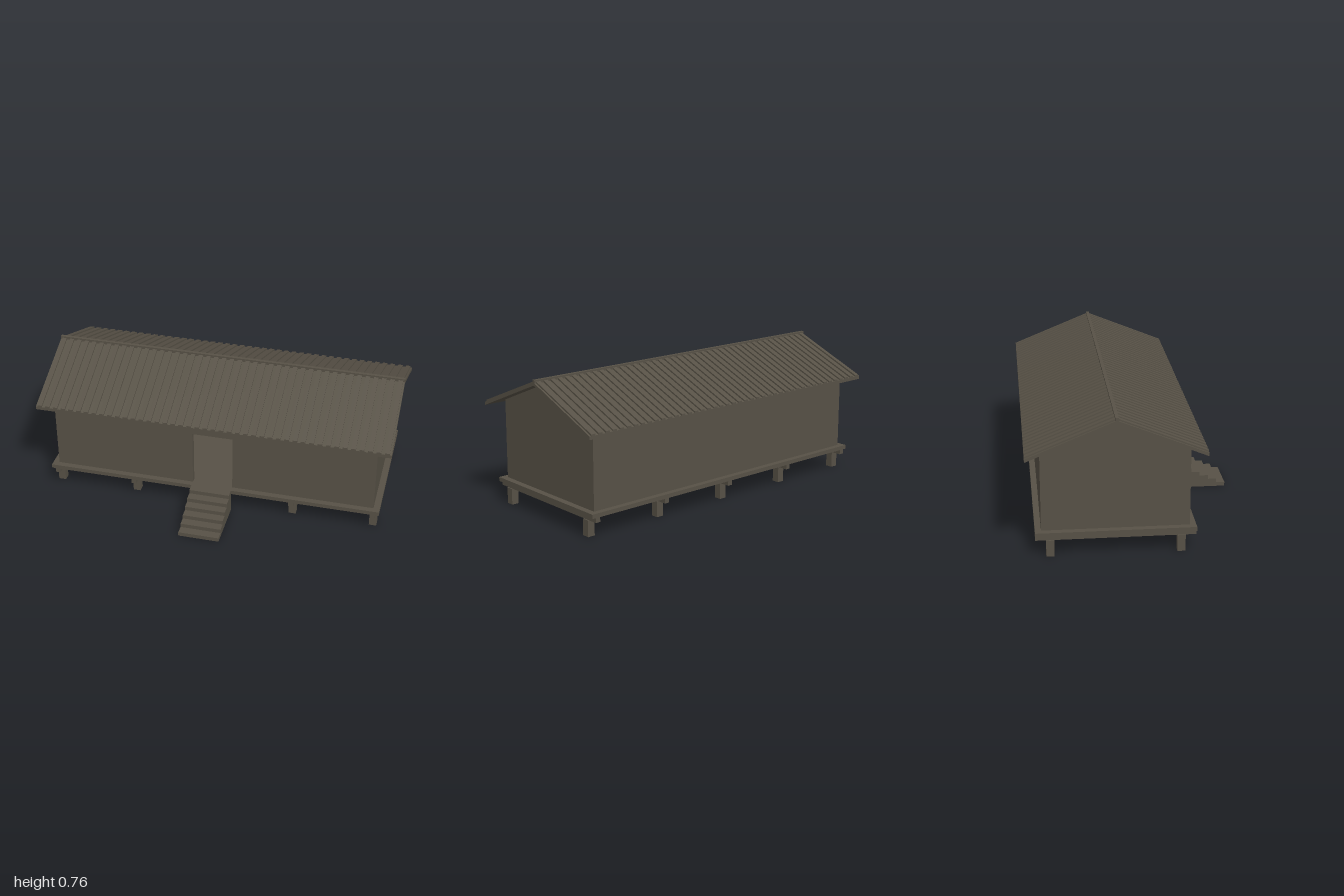
import * as THREE from 'three';

export function createModel() {
  const house = new THREE.Group();
  house.name = 'stiltHouse';
  const wood = new THREE.MeshStandardMaterial({ color: 0x575146 });
  wood.name = 'weatheredWood';

  function add(name, geometry, parent = house) {
    const mesh = new THREE.Mesh(geometry, wood);
    mesh.name = name;
    parent.add(mesh);
    return mesh;
  }
  function group(name) {
    const g = new THREE.Group();
    g.name = name;
    house.add(g);
    return g;
  }
  // Box given by its limits on each axis
  function box(name, x0, x1, y0, y1, z0, z1, parent) {
    const g = new THREE.BoxGeometry(x1 - x0, y1 - y0, z1 - z0);
    g.translate((x0 + x1) / 2, (y0 + y1) / 2, (z0 + z1) / 2);
    return add(name, g, parent);
  }
  const shapeOf = (pts) => new THREE.Shape(pts.map((p) => new THREE.Vector2(p[0], p[1])));
  // Side profile of [z, y] points, extruded from x0 to x1
  function alongX(name, pts, x0, x1, parent) {
    const g = new THREE.ExtrudeGeometry(shapeOf(pts), { depth: x1 - x0, bevelEnabled: false });
    g.rotateY(-Math.PI / 2);
    g.translate(x1, 0, 0);
    return add(name, g, parent);
  }

  const floorY = 0.138, floorBase = 0.115, beamBase = 0.089;
  const floorFront = 0.293, floorBack = -0.538;
  const wallX = 0.92, wallFront = 0.26, wallBack = -0.506, thick = 0.03;
  const ridgeZ = -0.123, eave = 0.461, doorX = 0.115;

  // Posts and cross beams
  const supports = group('supports');
  for (let i = -2; i <= 2; i++) {
    const x = i * 0.46;
    box('crossBeam', x - 0.014, x + 0.014, beamBase, floorBase, floorBack, floorFront, supports);
    for (const z of [0.215, -0.461]) {
      box('post', x - 0.021, x + 0.021, 0, beamBase, z - 0.021, z + 0.021, supports);
    }
  }
  box('floor', -0.955, 0.955, floorBase, floorY, floorBack, floorFront);

  // Walls, with an open doorway in the front
  const walls = group('walls');
  const top = 0.583;
  const front = new THREE.ExtrudeGeometry(shapeOf([
    [-wallX, floorY], [-doorX, floorY], [-doorX, 0.467], [doorX, 0.467],
    [doorX, floorY], [wallX, floorY], [wallX, top], [-wallX, top],
  ]), { depth: thick, bevelEnabled: false });
  front.translate(0, 0, wallFront - thick);
  add('frontWall', front, walls);
  box('backWall', -wallX, wallX, floorY, top, wallBack, wallBack + thick, walls);
  const gable = [
    [wallBack, floorY], [wallFront, floorY], [wallFront, 0.577], [ridgeZ, 0.736], [wallBack, 0.577],
  ];
  alongX('gableWall', gable, -wallX, -wallX + thick, walls);
  alongX('gableWall', gable, wallX - thick, wallX, walls);

  // Roof sheet, raised ribs and ridge cap
  const roof = group('roof');
  const chevron = (eaveLow, eaveHigh, ridgeLow, ridgeHigh) => [
    [ridgeZ - eave, eaveLow], [ridgeZ, ridgeLow], [ridgeZ + eave, eaveLow],
    [ridgeZ + eave, eaveHigh], [ridgeZ, ridgeHigh], [ridgeZ - eave, eaveHigh],
  ];
  alongX('roofSheet', chevron(0.544, 0.562, 0.734, 0.749), -1, 1, roof);
  const ribs = 44, pitch = 2 / ribs;
  for (let i = 0; i < ribs; i++) {
    const x = -1 + (i + 0.5) * pitch;
    alongX('roofRib', chevron(0.56, 0.571, 0.747, 0.758), x - pitch * 0.28, x + pitch * 0.28, roof);
  }
  box('ridgeCap', -1, 1, 0.745, 0.763, ridgeZ - 0.009, ridgeZ + 0.009, roof);

  // Solid front steps
  const steps = 6, tread = (0.585 - floorFront) / steps;
  const profile = [[floorFront, 0], [0.585, 0]];
  for (let i = 0; i < steps; i++) {
    const y = (floorY * (i + 1)) / steps;
    profile.push([0.585 - i * tread, y], [0.585 - (i + 1) * tread, y]);
  }
  alongX('frontSteps', profile, -doorX, doorX);

  return house;
}
